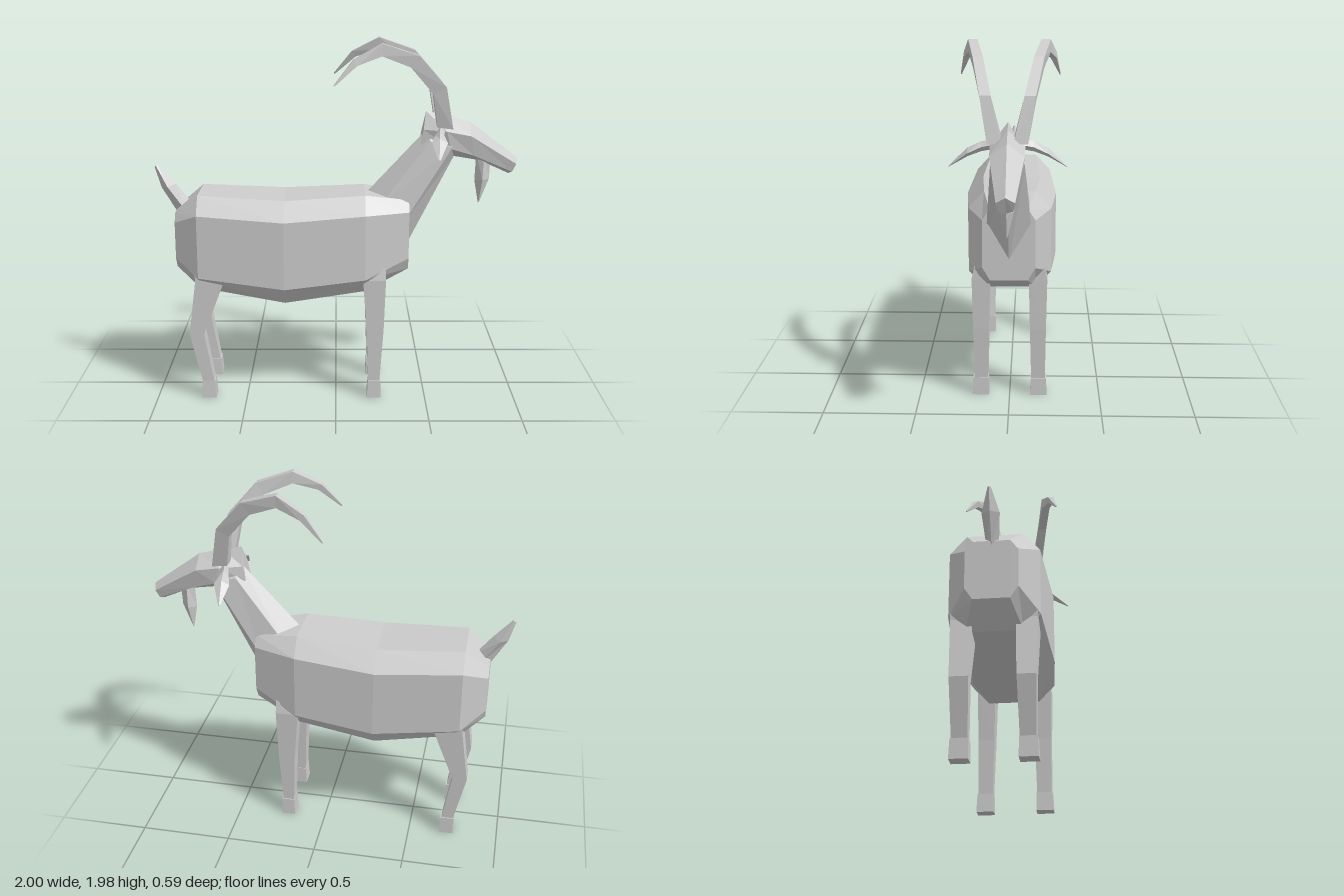
import * as THREE from 'three';

const coat = new THREE.MeshStandardMaterial({ color: 0xcccccc, flatShading: true });
coat.name = 'grey coat';

// Skin a list of equal-length rings of [x, y, z] points and close both ends.
function loft(name, rings) {
  const tris = [];
  const n = rings[0].length;
  for (let i = 0; i < rings.length - 1; i++) {
    for (let j = 0; j < n; j++) {
      const k = (j + 1) % n;
      const [a, b, c, d] = [rings[i][j], rings[i][k], rings[i + 1][k], rings[i + 1][j]];
      tris.push([a, b, c], [a, c, d]);
    }
  }
  const last = rings[rings.length - 1];
  for (let j = 1; j < n - 1; j++) {
    tris.push([rings[0][0], rings[0][j + 1], rings[0][j]], [last[0], last[j], last[j + 1]]);
  }
  // Signed volume tells whether the faces point outwards
  const v = (p) => new THREE.Vector3(...p);
  const volume = tris.reduce((s, [a, b, c]) => s + v(a).dot(v(b).cross(v(c))), 0);
  if (volume < 0) tris.forEach((t) => t.reverse());
  const geometry = new THREE.BufferGeometry();
  geometry.setAttribute('position', new THREE.Float32BufferAttribute(tris.flat(2), 3));
  geometry.computeVertexNormals();
  const mesh = new THREE.Mesh(geometry, coat);
  mesh.name = name;
  return mesh;
}

// Six-sided ring with a ridge above and below: top, upper side, lower side, bottom
const ridgeRing = ([tx, ty], [ux, uy, uz], [lx, ly, lz], [bx, by]) => [
  [tx, ty, 0], [ux, uy, uz], [lx, ly, lz], [bx, by, 0], [lx, ly, -lz], [ux, uy, -uz],
];

// Eight-sided ring for the barrel
const barrelRing = ([x, top, upper, lower, bottom, half, flat]) => [
  [x, top, flat], [x, upper, half], [x, lower, half], [x, bottom, flat],
  [x, bottom, -flat], [x, lower, -half], [x, upper, -half], [x, top, -flat],
];

// Four-sided level ring for the legs
const legRing = (s) => ([y, x0, x1, z0, z1]) => [
  [x0, y, s * z0], [x1, y, s * z0], [x1, y, s * z1], [x0, y, s * z1],
];

// Four-sided diamond ring across the line between two profile points
const diamondRing = ([x0, y0, x1, y1, w]) => {
  const x = (x0 + x1) / 2, y = (y0 + y1) / 2;
  return [[x0, y0, 0], [x, y, w], [x1, y1, 0], [x, y, -w]];
};

function leg(name, s, rows, hoofRows) {
  const group = new THREE.Group();
  group.name = name;
  group.add(loft('shank', rows.map(legRing(s))), loft('hoof', hoofRows.map(legRing(s))));
  return group;
}

// Box-section horn swept back and outwards
function horn(name, s) {
  return loft(name, [
    // outer x, y, inner x, y, centre z, half thickness
    [0.63, 1.51, 0.545, 1.52, 0.065, 0.036],
    [0.585, 1.74, 0.515, 1.705, 0.11, 0.028],
    [0.435, 1.91, 0.39, 1.85, 0.152, 0.026],
    [0.24, 1.975, 0.24, 1.91, 0.187, 0.024],
    [0.09, 1.895, 0.11, 1.865, 0.228, 0.016],
    [-0.012, 1.768, -0.006, 1.762, 0.266, 0.003],
  ].map(([x0, y0, x1, y1, z, b]) => [
    [x0, y0, s * (z - b)], [x0, y0, s * (z + b)], [x1, y1, s * (z + b)], [x1, y1, s * (z - b)],
  ]));
}

// Leaf-shaped drooping ear
function ear(name, s) {
  return loft(name, [
    // centre x, y, z, half width in x, half height
    [0.57, 1.5, 0.06, 0.02, 0.025],
    [0.555, 1.485, 0.13, 0.024, 0.025],
    [0.55, 1.455, 0.2, 0.042, 0.022],
    [0.54, 1.38, 0.295, 0.006, 0.003],
  ].map(([x, y, z, w, h]) => [
    [x - w, y, s * z], [x, y + h, s * z], [x + w, y, s * z], [x, y - h, s * z],
  ]));
}

export function createModel() {
  const goat = new THREE.Group();
  goat.name = 'goat';

  // Barrel: x, top, upper edge, lower edge, bottom, half width, half flat
  goat.add(loft('body', [
    [-0.88, 1.05, 1.0, 0.8, 0.74, 0.13, 0.09],
    [-0.75, 1.155, 1.06, 0.71, 0.63, 0.225, 0.14],
    [-0.28, 1.13, 1.03, 0.655, 0.55, 0.257, 0.165],
    [0.16, 1.155, 1.06, 0.7, 0.61, 0.225, 0.14],
    [0.4, 1.12, 1.06, 0.8, 0.73, 0.14, 0.1],
  ].map(barrelRing)));

  goat.add(loft('neck', [
    ridgeRing([0.15, 1.12], [0.24, 1.09, 0.11], [0.36, 0.98, 0.12], [0.375, 0.8]),
    ridgeRing([0.5, 1.5], [0.51, 1.44, 0.075], [0.63, 1.41, 0.085], [0.65, 1.35]),
  ]));

  goat.add(loft('head', [
    ridgeRing([0.49, 1.595], [0.475, 1.5, 0.05], [0.46, 1.42, 0.05], [0.49, 1.42]),
    ridgeRing([0.6, 1.572], [0.6, 1.495, 0.088], [0.62, 1.4, 0.08], [0.65, 1.345]),
    ridgeRing([0.73, 1.535], [0.73, 1.47, 0.085], [0.75, 1.36, 0.065], [0.79, 1.322]),
    ridgeRing([0.997, 1.338], [0.985, 1.31, 0.045], [0.965, 1.265, 0.035], [0.95, 1.25]),
  ]));

  goat.add(loft('beard', [
    [0.77, 1.36, 0.85, 1.34, 0.025],
    [0.765, 1.21, 0.845, 1.22, 0.035],
    [0.788, 1.085, 0.795, 1.085, 0.004],
  ].map(diamondRing)));

  goat.add(loft('tail', [
    [-0.87, 1.01, -0.79, 1.07, 0.03],
    [-0.965, 1.17, -0.885, 1.19, 0.045],
    [-0.998, 1.285, -0.98, 1.295, 0.008],
  ].map(diamondRing)));

  // Paired parts; the left side is mirrored from the right
  for (const [side, s] of [['front', 1], ['back', -1]]) {
    goat.add(horn(side + 'SideHorn', s), ear(side + 'SideEar', s));
    // Leg rows: y, x range, z range
    goat.add(leg(side + 'SideForeleg', s, [
      [0.76, 0.15, 0.275, 0.1, 0.19],
      [0.69, 0.15, 0.275, 0.105, 0.205],
      [0.4, 0.172, 0.265, 0.112, 0.2],
      [0.1, 0.182, 0.245, 0.12, 0.197],
    ], [[0.1, 0.18, 0.25, 0.117, 0.203], [0, 0.175, 0.252, 0.115, 0.207]]));
    goat.add(leg(side + 'SideHindLeg', s, [
      [0.73, -0.77, -0.6, 0.105, 0.212],
      [0.69, -0.768, -0.61, 0.105, 0.212],
      [0.38, -0.81, -0.73, 0.112, 0.205],
      [0.1, -0.748, -0.683, 0.12, 0.197],
    ], [[0.1, -0.75, -0.678, 0.117, 0.203], [0, -0.752, -0.672, 0.115, 0.207]]));
  }
  return goat;
}
